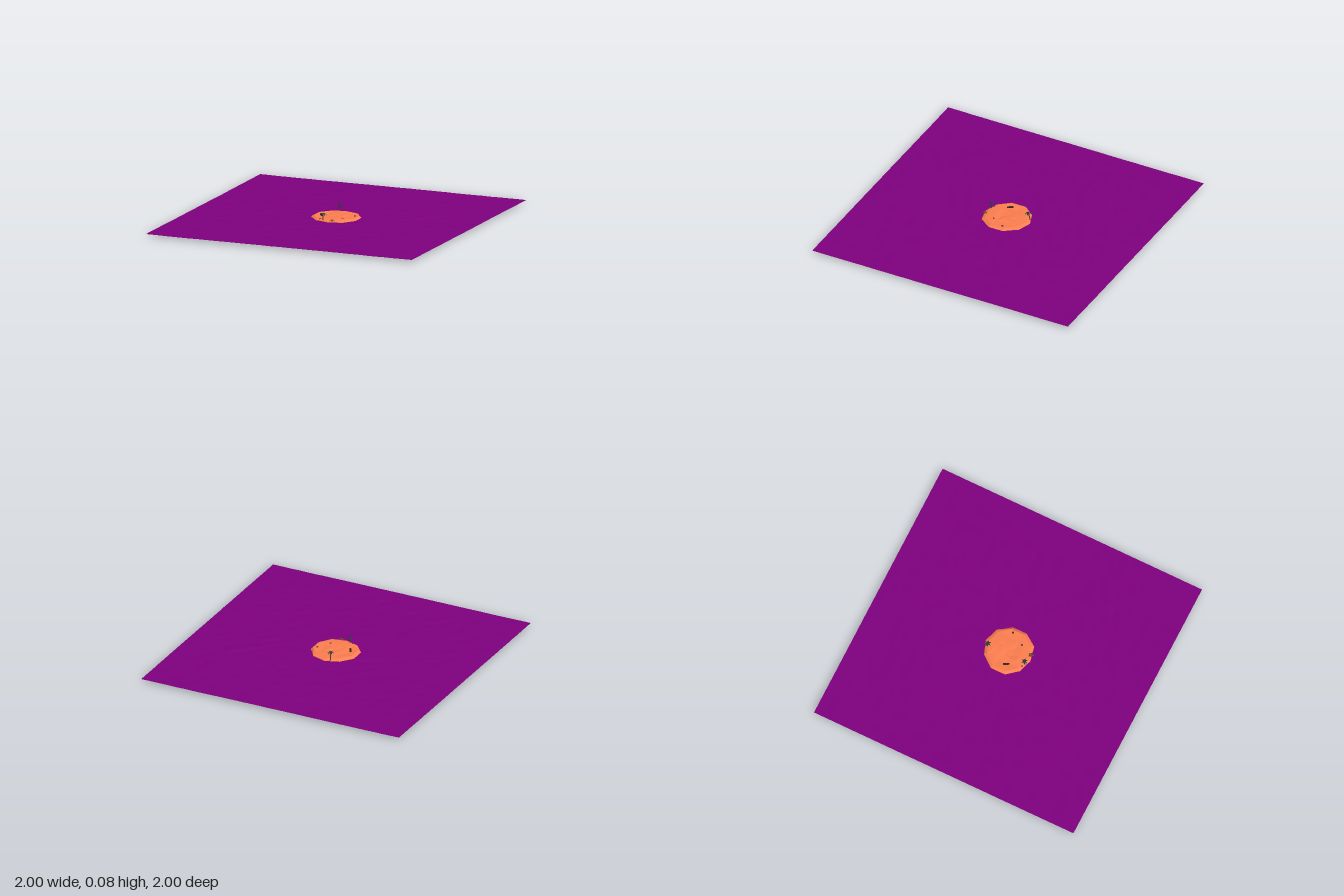
import * as THREE from 'three';

// small seeded noise, 0..1
function hash(a, b = 0) {
  const s = Math.sin(a * 127.1 + b * 311.7 + 4.2) * 43758.5453;
  return s - Math.floor(s);
}

function material(color) {
  return new THREE.MeshStandardMaterial({ color, flatShading: true, side: THREE.DoubleSide });
}

const seaMat = material(0x800080);
const sandMat = material(0xff7f50);
const trunkMat = material(0x4a4438);
const leafMat = material(0x1f3a40);
const stoneMat = material(0x3c3450);
const logMat = material(0x3a2418);
const bushMat = material(0x6b4a28);

function add(parent, name, geometry, mat, x = 0, y = 0, z = 0) {
  const mesh = new THREE.Mesh(geometry, mat);
  mesh.name = name;
  mesh.position.set(x, y, z);
  parent.add(mesh);
  return mesh;
}

// Gently rippled low-poly water sheet, flat at its border and under the island
function seaGeometry() {
  const g = new THREE.PlaneGeometry(2, 2, 30, 30).rotateX(-Math.PI / 2);
  const p = g.attributes.position;
  for (let i = 0; i < p.count; i++) {
    const x = p.getX(i), z = p.getZ(i);
    const edge = Math.min(1, (1 - Math.max(Math.abs(x), Math.abs(z))) * 4);
    const swell = Math.sin(x * 5 + 1) * Math.cos(z * 7) * 0.002;
    const ripple = (hash(Math.round(x * 15), Math.round(z * 15)) - 0.5) * 0.005;
    const calm = Math.hypot(x, z) < 0.24 ? 0 : 1;
    p.setY(i, 0.016 + (swell + ripple) * (0.3 + 0.7 * edge) * calm);
  }
  g.computeVertexNormals();
  return g;
}

// Irregular ten-sided disc of sand with a bevelled rim and bumpy top
function islandGeometry() {
  const outline = [[0, 0], [0.15, 0.004], [0.17, 0.013], [0.168, 0.02], [0.148, 0.027], [0.09, 0.026], [0.045, 0.027], [0, 0.026]];
  const g = new THREE.LatheGeometry(outline.map(([r, y]) => new THREE.Vector2(r, y)), 10);
  const p = g.attributes.position;
  for (let i = 0; i < p.count; i++) {
    const x = p.getX(i), y = p.getY(i), z = p.getZ(i);
    const r = Math.hypot(x, z);
    if (r < 0.001) continue;
    const side = (Math.round(Math.atan2(z, x) / (Math.PI / 5)) + 10) % 10;
    const k = 1 + 0.07 * hash(side, 3);
    const bump = y > 0.022 ? (hash(side, Math.round(r * 100)) - 0.35) * 0.007 : 0;
    p.setXYZ(i, x * k + 0.003, y + bump, z * k + 0.003);
  }
  g.computeVertexNormals();
  return g;
}

// Drooping, tapering palm leaf along +x
function leafGeometry(length, width) {
  const g = new THREE.PlaneGeometry(length, width, 3, 2).rotateX(-Math.PI / 2).translate(length / 2, 0, 0);
  const p = g.attributes.position;
  for (let i = 0; i < p.count; i++) {
    const t = p.getX(i) / length, z = p.getZ(i);
    const w = 0.25 + 1.2 * Math.sin(Math.PI * Math.min(1, t * 0.8 + 0.15)) * (1 - t * 0.5);
    p.setY(i, length * (0.35 * t - 0.8 * t * t) - Math.abs(z) * 0.5);
    p.setZ(i, z * w);
  }
  g.computeVertexNormals();
  return g;
}

// Leaning palm: bent trunk and a crown of leaves
function palm(name, x, z, height, leanX, leanZ) {
  const group = new THREE.Group();
  group.name = name;
  group.position.set(x, 0.022, z);
  const path = new THREE.QuadraticBezierCurve3(
    new THREE.Vector3(0, 0, 0),
    new THREE.Vector3(leanX * 0.2, height * 0.6, leanZ * 0.2),
    new THREE.Vector3(leanX, height, leanZ));
  add(group, 'trunk', new THREE.TubeGeometry(path, 5, 0.0035, 5), trunkMat);
  add(group, 'trunkBase', new THREE.CylinderGeometry(0.004, 0.006, 0.012, 5), trunkMat, 0, 0.004, 0);
  for (let i = 0; i < 6; i++) {
    const leaf = add(group, 'leaf', leafGeometry(0.022, 0.008), leafMat, leanX, height, leanZ);
    leaf.rotation.y = i * Math.PI / 3 + 0.3;
  }
  return group;
}

export function createModel() {
  const model = new THREE.Group();
  model.name = 'islandScene';
  add(model, 'sea', seaGeometry(), seaMat);
  add(model, 'island', islandGeometry(), sandMat);

  // Palms at the back and front shores
  model.add(palm('backPalm', -0.035, -0.153, 0.058, 0.005, 0.013));
  model.add(palm('frontPalm', -0.035, 0.147, 0.048, 0.002, -0.003));

  // Fallen log on the right half of the sand
  const log = add(model, 'log', new THREE.CylinderGeometry(0.006, 0.008, 0.045, 6), logMat, -0.096, 0.031, 0.033);
  log.rotation.set(Math.PI / 2, 0, -0.5);

  // Stones
  for (const [x, z, s] of [[0.132, -0.027, 0.009], [0.078, 0.07, 0.008], [-0.06, 0.138, 0.006]]) {
    const stone = add(model, 'stone', new THREE.DodecahedronGeometry(s), stoneMat, x, 0.028, z);
    stone.scale.y = 0.7;
    stone.rotation.y = x * 40;
  }

  // Low scrub on the front shore
  for (let i = 0; i < 5; i++) {
    const leaf = add(model, 'scrub', leafGeometry(0.022, 0.01), bushMat, 0.04, 0.034, 0.158);
    leaf.rotation.y = i * Math.PI * 0.4;
  }
  return model;
}
